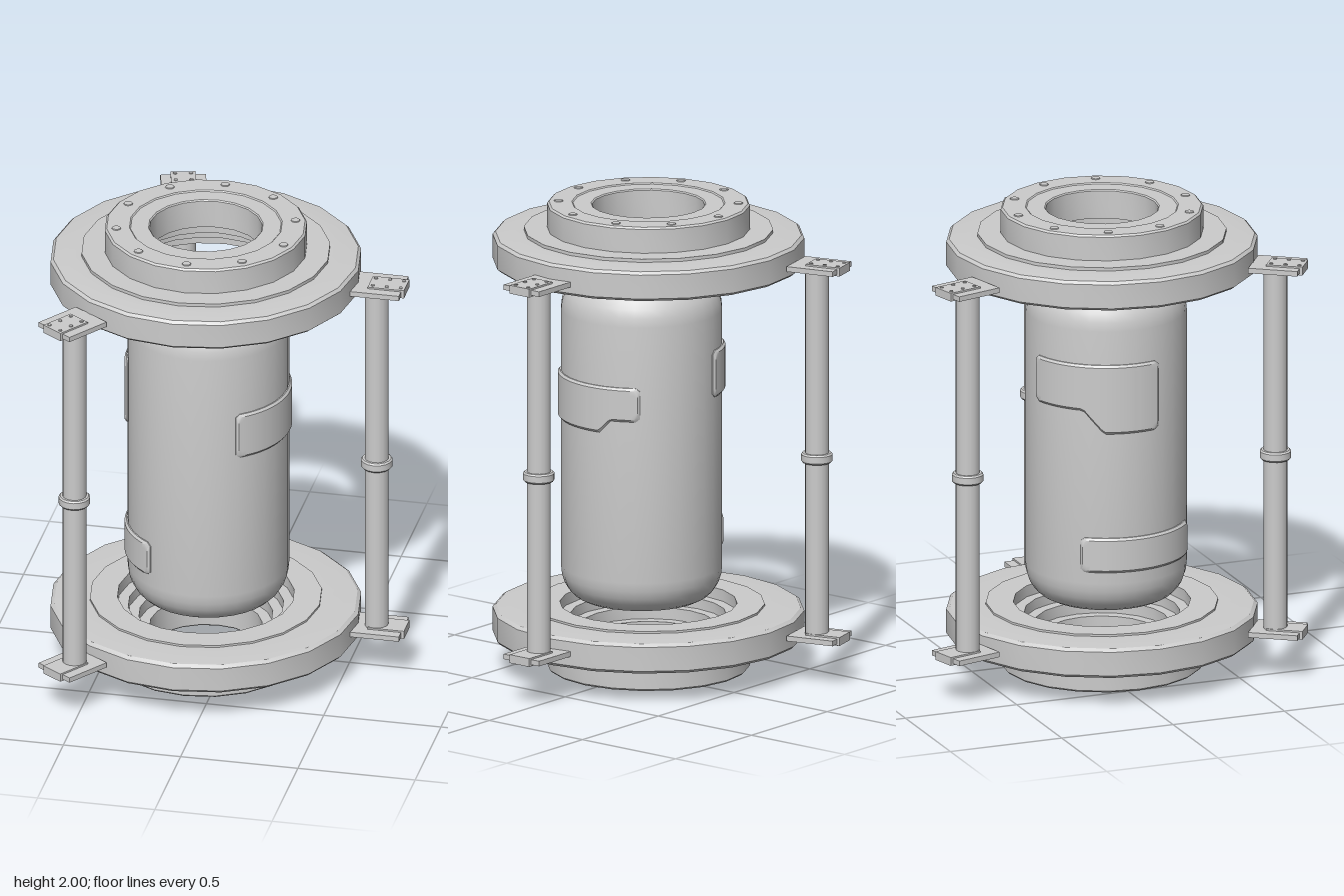
import * as THREE from 'three';
import { toCreasedNormals } from 'three/addons/utils/BufferGeometryUtils.js';

const material = new THREE.MeshStandardMaterial({ color: 0xcccccc });
const rad = THREE.MathUtils.degToRad;
const RING = { x: -0.103, z: 0.043 };
const CAN = { x: -0.087, z: 0.067, r: 0.337 };

function part(name, geometry, x = 0, y = 0, z = 0) {
  const mesh = new THREE.Mesh(geometry, material);
  mesh.name = name;
  mesh.position.set(x, y, z);
  return mesh;
}

function lathe(points, sides) {
  const profile = points.map(([r, y]) => new THREE.Vector2(r, y));
  return toCreasedNormals(new THREE.LatheGeometry(profile, sides), 0.5);
}

// Stepped end ring with a bolted hub; drawn for the top, flipped for the bottom
function endRing(name) {
  const ring = new THREE.Group();
  ring.name = name;
  ring.add(part('ringBody', lathe([
    [0.37, 1.735], [0.37, 1.726], [0.485, 1.726], [0.485, 1.735],
    [0.56, 1.735], [0.635, 1.74], [0.65, 1.752], [0.65, 1.855], [0.638, 1.867],
    [0.56, 1.876], [0.52, 1.876], [0.52, 1.89],
    [0.423, 1.89], [0.423, 1.992], [0.415, 2], [0.32, 2], [0.315, 1.995], [0.24, 1.995],
    [0.235, 1.99], [0.235, 1.87], [0.28, 1.87], [0.28, 1.82],
    [0.325, 1.82], [0.325, 1.775], [0.37, 1.775], [0.37, 1.735],
  ], 20)));
  for (let i = 0; i < 10; i++) {
    const a = rad(18 + i * 36);
    const bolt = new THREE.CylinderGeometry(0.018, 0.022, 0.012, 10);
    ring.add(part('hubBolt', bolt, 0.375 * Math.cos(a), 1.998, 0.375 * Math.sin(a)));
  }
  ring.position.set(RING.x, 0, RING.z);
  return ring;
}

// Strut with a middle collar and a clamp plate at each end; local +x points outward
function strut(name, x, z, angle) {
  const group = new THREE.Group();
  group.name = name;
  group.add(part('strutRod', new THREE.CylinderGeometry(0.05, 0.05, 1.59, 16), 0, 0.995, 0));
  group.add(part('strutCollar', lathe([
    [0.04, 0.948], [0.06, 0.948], [0.066, 0.955], [0.066, 0.983], [0.06, 0.99], [0.04, 0.99],
  ], 16)));
  for (const [y, up] of [[1.79, 1], [0.2, -1]]) {
    group.add(part('clampPlate', new THREE.BoxGeometry(0.21, 0.022, 0.19), 0.01, y, 0));
    group.add(part('clampBlock', new THREE.BoxGeometry(0.155, 0.036, 0.105), 0.05, y, 0));
    for (const bx of [-0.01, 0.05, 0.11]) for (const bz of [-0.033, 0.033]) {
      const rivet = new THREE.CylinderGeometry(0.008, 0.008, 0.008, 8);
      group.add(part('clampRivet', rivet, bx, y + up * 0.018, bz));
    }
  }
  group.position.set(x, 0, z);
  group.rotation.y = -rad(angle);
  return group;
}

// Curved panel wrapped on the canister from angle a0 to a1, with a bevelled rim.
// bottom(angle) gives the lower edge, so the panel can step.
function wrapPanel(name, a0, a1, top, bottom) {
  const n = 32;
  const geometry = new THREE.BoxGeometry(1, 1, 1, n, 3, 2);
  const p = geometry.attributes.position;
  for (let i = 0; i < p.count; i++) {
    const u = p.getX(i) + 0.5, v = p.getY(i), w = p.getZ(i);
    const inset = w > 0.4 ? 0.01 : 0;
    const insetAngle = inset / CAN.r * 180 / Math.PI;
    const angle = THREE.MathUtils.lerp(a1 - insetAngle, a0 + insetAngle, u);
    const corner = u < 0.01 || u > 0.99 ? 0.014 : 0;
    const hi = top - inset - corner, lo = bottom(angle) + inset + corner;
    const y = v > 0.4 ? hi : v < -0.4 ? lo : v > 0 ? hi - 0.02 : lo + 0.02;
    const r = w > 0.4 ? CAN.r + 0.012 : w > -0.4 ? CAN.r + 0.004 : CAN.r - 0.015;
    p.setXYZ(i, r * Math.cos(rad(angle)), y, r * Math.sin(rad(angle)));
  }
  return part(name, toCreasedNormals(geometry, 0.6));
}

// Canister half profile end: rim recess, flat lip and rounded shoulder
function canisterProfile() {
  const pts = [];
  for (let i = 0; i <= 6; i++) {
    const t = i / 6 * Math.PI / 2;
    pts.push([CAN.r - 0.115 * (1 - Math.cos(t)), 1.545 + 0.145 * Math.sin(t)]);
  }
  pts.push([0.207, 1.69], [0.195, 1.68], [0.195, 1.63], [0, 1.63]);
  const lower = pts.map(([r, y]) => [r, 1.99 - y]).reverse();
  return [...lower, ...pts];
}

function canister() {
  const group = new THREE.Group();
  group.name = 'canister';
  group.add(part('canisterBody', lathe(canisterProfile(), 32)));
  // Three-armed grips sunk in both ends
  for (const y of [1.65, 0.34]) {
    for (const angle of [0, 125, 235]) {
      const arm = part('gripArm', new THREE.BoxGeometry(0.198, 0.045, 0.08).translate(0.099, 0, 0), 0, y, 0);
      arm.rotation.y = -rad(angle);
      group.add(arm);
    }
    group.add(part('gripHub', new THREE.CylinderGeometry(0.07, 0.07, 0.045, 12), 0, y, 0));
    group.add(part('gripPin', new THREE.CylinderGeometry(0.03, 0.03, 0.055, 16), 0.02, y, 0));
  }
  // Stepped and plain panels round the side
  const step = THREE.MathUtils.mapLinear;
  const clamp = THREE.MathUtils.clamp;
  group.add(wrapPanel('sidePanel', -38, 58, 1.285, a => clamp(step(a, -17, -8, 1.14, 1.085), 1.085, 1.14)));
  group.add(wrapPanel('rearPanel', 162, 260, 1.4, a => clamp(step(a, 203, 218, 1.1, 1.2), 1.1, 1.2)));
  group.add(wrapPanel('lowerPanel', 123, 220, 0.645, () => 0.495));
  group.position.set(CAN.x, 0, CAN.z);
  return group;
}

export function createModel() {
  const model = new THREE.Group();
  model.name = 'caged canister';

  model.add(endRing('topRing'));
  const bottomRing = endRing('bottomRing');
  bottomRing.rotation.x = Math.PI;
  bottomRing.position.y = 2.004;
  model.add(bottomRing);

  model.add(strut('leftStrut', 0.625, 0.04, 0));
  model.add(strut('frontStrut', -0.53, 0.65, 125));
  model.add(strut('backStrut', -0.35, -0.66, 255));

  model.add(canister());
  return model;
}
